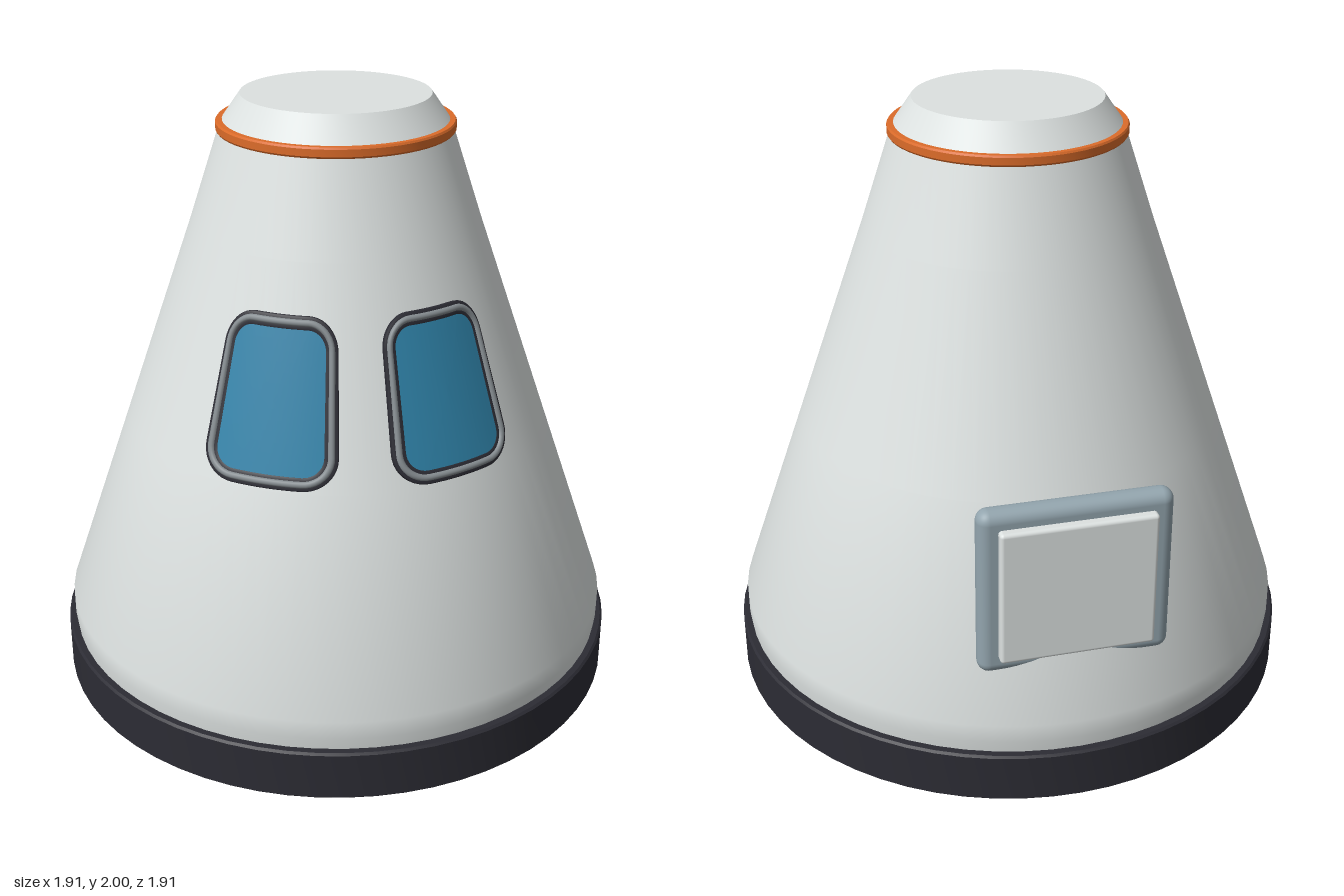
import * as THREE from 'three';
import { toCreasedNormals } from 'three/addons/utils/BufferGeometryUtils.js';
import { RoundedBoxGeometry } from 'three/addons/geometries/RoundedBoxGeometry.js';

const material = (name, color) => {
  const m = new THREE.MeshStandardMaterial({ color });
  m.name = name;
  return m;
};

// Turned part from [radius, y] points, listed from the bottom up
function turned(points, crease = 0.5) {
  const g = new THREE.LatheGeometry(points.map(([r, y]) => new THREE.Vector2(r, y)), 64);
  return toCreasedNormals(g, crease);
}

// Radius of the hull's cone at a height
const hullRadius = (y) => 0.934 - 0.348 * (y - 0.27);

// Window outline: a rounded rectangle wrapped round the cone
const WINDOW = { angle: 0.44, y: 1.19, halfWidth: 0.197, halfHeight: 0.25, corner: 0.1 };
const CORNER_STEPS = 10, SIDE_STEPS = 8;

function outline(inset) {
  const w = WINDOW.halfWidth - inset, h = WINDOW.halfHeight - inset;
  const r = Math.max(WINDOW.corner - inset, 0.01);
  const corners = [[1, 1], [-1, 1], [-1, -1], [1, -1]];
  const arcs = corners.map(([sx, sy], k) => Array.from({ length: CORNER_STEPS + 1 }, (_, i) => {
    const a = (k + i / CORNER_STEPS) * Math.PI / 2;
    return [sx * (w - r) + r * Math.cos(a), sy * (h - r) + r * Math.sin(a)];
  }));
  const points = [];
  arcs.forEach((arc, k) => {
    points.push(...arc);
    const a = arc[CORNER_STEPS], b = arcs[(k + 1) % 4][0];
    for (let i = 1; i < SIDE_STEPS; i++) {
      const t = i / SIDE_STEPS;
      points.push([a[0] + (b[0] - a[0]) * t, a[1] + (b[1] - a[1]) * t]);
    }
  });
  return points;
}

// Surface through rings of [inset, height above hull, scale], from the outside in
function wrapped(rings, side) {
  const position = [], index = [];
  let n = 0;
  rings.forEach(([inset, lift, scale = 1]) => {
    const points = outline(inset);
    n = points.length;
    for (const [u, v] of points) {
      const y = WINDOW.y + v * scale;
      const a = side * WINDOW.angle + u * scale / hullRadius(WINDOW.y);
      const r = hullRadius(y) + lift * 0.944;
      position.push(r * Math.sin(a), y + lift * 0.329, r * Math.cos(a));
    }
  });
  for (let k = 0; k < rings.length - 1; k++) {
    for (let i = 0; i < n; i++) {
      const j = (i + 1) % n, a = k * n, b = a + n;
      index.push(a + i, a + j, b + j, a + i, b + j, b + i);
    }
  }
  const g = new THREE.BufferGeometry();
  g.setAttribute('position', new THREE.Float32BufferAttribute(position, 3));
  g.setIndex(index);
  g.computeVertexNormals();
  return g;
}

export function createModel() {
  const white = material('hull white', 0xdde2e1);
  const dark = material('shield charcoal', 0x2c2c34);
  const orange = material('band orange', 0xdc6c2a);
  const grey = material('rim grey', 0x858c90);
  const blue = material('glass blue', 0x2f82a8);
  const steel = material('hatch steel', 0x93a5ae);

  const model = new THREE.Group();
  model.name = 'capsule';
  const add = (name, geometry, mat, parent = model) => {
    const mesh = new THREE.Mesh(geometry, mat);
    mesh.name = name;
    parent.add(mesh);
    return mesh;
  };

  // Body of revolution
  add('heatShield', turned([[0, 0], [0.95, 0], [0.957, 0.007], [0.957, 0.163], [0.95, 0.17], [0.88, 0.17]]), dark);
  add('hull', turned([[0.928, 0.16], [0.934, 0.21], [0.934, 0.27], [0.704, 0.93], [0.474, 1.59], [0.375, 1.89]]), white);
  add('neckBand', turned([[0.36, 1.883], [0.38, 1.883], [0.384, 1.889], [0.384, 1.912], [0.38, 1.918], [0.355, 1.918]]), orange);
  add('noseCap', turned([[0.368, 1.91], [0.305, 2], [0, 2]]), white);

  // Two front windows: gasket, rounded rim, inner seal and glass
  for (const side of [-1, 1]) {
    const w = new THREE.Group();
    w.name = side > 0 ? 'leftWindow' : 'rightWindow';
    model.add(w);
    add('gasket', wrapped([[0, -0.01], [0, 0.012], [0.003, 0.016], [0.014, 0.016]], side), dark, w);
    const rim = Array.from({ length: 7 }, (_, i) => {
      const a = i / 6 * Math.PI;
      return [0.02 - 0.01 * Math.cos(a), 0.014 + 0.01 * Math.sin(a)];
    });
    add('rim', wrapped(rim, side), grey, w);
    add('seal', wrapped([[0.028, 0.015], [0.039, 0.015], [0.042, 0.01]], side), dark, w);
    const glass = [1, 0.85, 0.7, 0.55, 0.4, 0.25, 0.1, 0].map((s) => [0.039, 0.0135, s]);
    add('glass', wrapped(glass, side), blue, w);
  }

  // Rear hatch: steel surround with a raised panel
  const hatch = new THREE.Group();
  hatch.name = 'rearHatch';
  hatch.position.set(0, 0.717, -0.815);
  model.add(hatch);
  add('hatchFrame', new RoundedBoxGeometry(0.61, 0.566, 0.08, 5, 0.038), steel, hatch);
  add('hatchPanel', new RoundedBoxGeometry(0.49, 0.456, 0.05, 4, 0.012), white, hatch).position.z = -0.045;

  return model;
}
